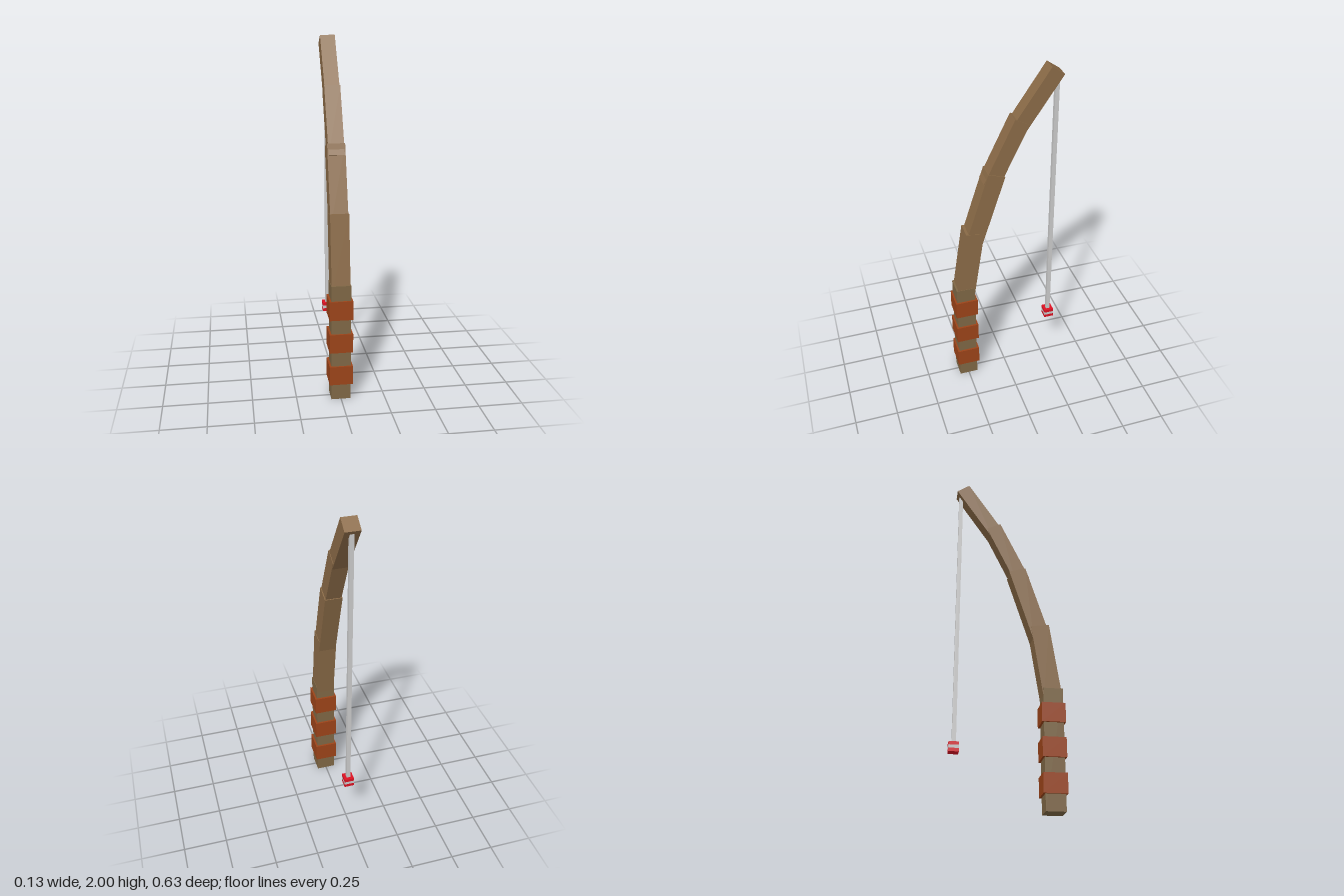
import * as THREE from 'three';

const paint = (color) => new THREE.MeshStandardMaterial({ color });

export function createModel() {
  const model = new THREE.Group();
  const wood = paint(0x8b6b47);
  const handleWood = paint(0x7f6745);
  const wrap = paint(0x9c4419);
  const grey = paint(0xcccccc);
  const red = paint(0xdd1122);

  // Upright square-section box between two heights
  const block = (name, width, y0, y1, z, material) => {
    const mesh = new THREE.Mesh(new THREE.BoxGeometry(width, y1 - y0, width), material);
    mesh.name = name;
    mesh.position.set(0, (y0 + y1) / 2, z);
    model.add(mesh);
  };

  // Handle with three grip bands
  block('handle', 0.11, 0, 0.68, 0.25, handleWood);
  for (let i = 0; i < 3; i++) {
    const y = 0.093 + i * 0.195;
    block(`gripBand${i + 1}`, 0.132, y, y + 0.11, 0.249, wrap);
  }

  // Bending rod sections: width, length, lean, and position of the front top edge
  const sections = [
    [0.105, 0.44, 0.15, 1.07, 0.236],
    [0.1, 0.46, 0.31, 1.435, 0.103],
    [0.09, 0.4, 0.45, 1.735, -0.047],
    [0.085, 0.4, 0.6, 2.0, -0.242],
  ];
  sections.forEach(([width, length, lean, y, z], i) => {
    const mesh = new THREE.Mesh(new THREE.BoxGeometry(width, length, width), wood);
    const s = Math.sin(lean), c = Math.cos(lean);
    mesh.name = `rodSection${i + 1}`;
    mesh.rotation.x = -lean;
    mesh.position.set(0, y - (width * s + length * c) / 2, z - (width * c - length * s) / 2);
    model.add(mesh);
  });

  // Hanging line and striped float
  block('line', 0.023, 0.36, 1.955, -0.287, grey);
  block('floatBottom', 0.057, 0.305, 0.324, -0.288, red);
  block('floatStripe', 0.057, 0.324, 0.342, -0.288, grey);
  block('floatTop', 0.057, 0.342, 0.36, -0.288, red);

  return model;
}
